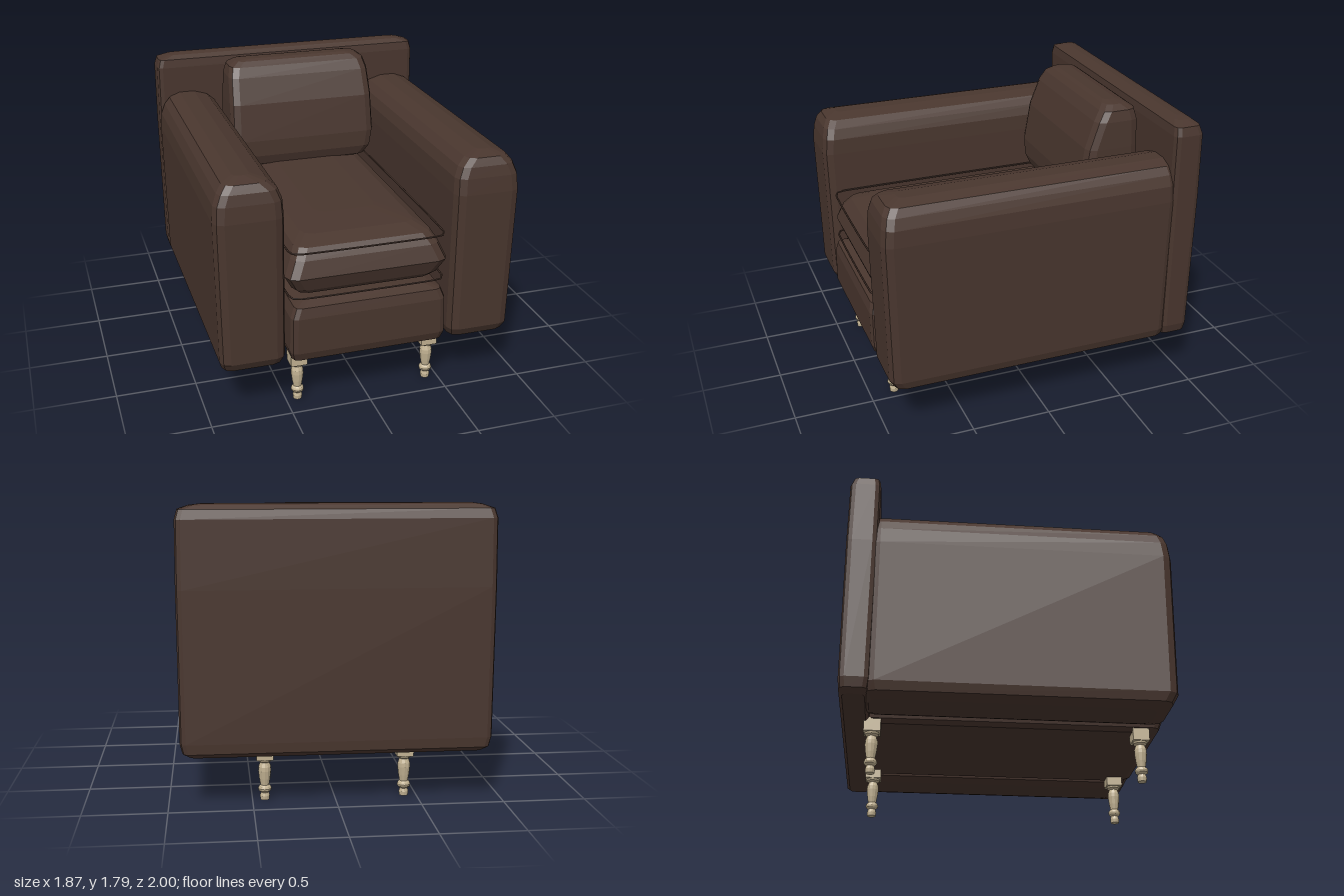
import * as THREE from 'three';

// Stack of rounded-rectangle rings: each is [y, xMin, xMax, zMin, zMax]
function stackGeometry(rings, radius) {
  const pos = [], index = [], steps = 3, n = 4 * steps;
  const corners = [[1, 1], [0, 1], [0, 0], [1, 0]];
  for (const [y, x0, x1, z0, z1] of rings) {
    const r = Math.min(radius, (x1 - x0) * 0.35, (z1 - z0) * 0.35);
    corners.forEach(([cx, cz], c) => {
      for (let s = 0; s < steps; s++) {
        const a = (c + s / (steps - 1)) * Math.PI / 2;
        pos.push((cx ? x1 - r : x0 + r) + Math.cos(a) * r, y, (cz ? z1 - r : z0 + r) + Math.sin(a) * r);
      }
    });
  }
  for (let i = 0; i < rings.length - 1; i++) {
    for (let k = 0; k < n; k++) {
      const a = i * n + k, b = i * n + (k + 1) % n;
      index.push(a, a + n, b, b, a + n, b + n);
    }
  }
  const top = (rings.length - 1) * n;
  for (let k = 1; k < n - 1; k++) {
    index.push(0, k, k + 1, top, top + k + 1, top + k);
  }
  const geo = new THREE.BufferGeometry();
  geo.setAttribute('position', new THREE.Float32BufferAttribute(pos, 3));
  geo.setIndex(index);
  geo.computeVertexNormals();
  return geo;
}

// Rings symmetric in x: [y, halfWidth, zMin, zMax]
const centred = rings => rings.map(([y, h, z0, z1]) => [y, -h, h, z0, z1]);

export function createModel() {
  const group = new THREE.Group();
  const leather = new THREE.MeshStandardMaterial({ color: 0x49362e, flatShading: true });
  leather.name = 'brown leather';
  const wood = new THREE.MeshStandardMaterial({ color: 0xc2b292, flatShading: true });
  wood.name = 'pale wood';

  const add = (name, geo, mat = leather, parent = group) => {
    const mesh = new THREE.Mesh(geo, mat);
    mesh.name = name;
    parent.add(mesh);
    return mesh;
  };

  // Backrest panel
  add('backrest', stackGeometry(centred([
    [0.315, 0.87, -0.97, -0.84], [0.34, 0.91, -0.99, -0.82], [0.4, 0.925, -0.995, -0.812],
    [1.3, 0.932, -1, -0.808], [1.7, 0.93, -0.997, -0.808], [1.755, 0.915, -0.98, -0.815],
    [1.778, 0.85, -0.95, -0.85], [1.787, 0.78, -0.92, -0.88],
  ]), 0.035));

  // Armrests with rounded tops
  const arm = [
    [0.308, 0.6, 0.83, -0.82, 0.87], [0.33, 0.54, 0.905, -0.84, 0.95], [0.385, 0.522, 0.922, -0.85, 0.98],
    [1.29, 0.52, 0.934, -0.855, 0.995], [1.39, 0.525, 0.925, -0.855, 0.985], [1.455, 0.55, 0.9, -0.855, 0.97],
    [1.5, 0.6, 0.865, -0.85, 0.94], [1.525, 0.69, 0.79, -0.84, 0.86],
  ];
  add('leftArmrest', stackGeometry(arm, 0.06));
  add('rightArmrest', stackGeometry(arm.map(([y, x0, x1, z0, z1]) => [y, -x1, -x0, z0, z1]), 0.06));

  // Seat base
  add('seatBase', stackGeometry(centred([
    [0.312, 0.45, -0.84, 0.92], [0.335, 0.48, -0.84, 0.96], [0.39, 0.495, -0.84, 0.98],
    [0.62, 0.49, -0.84, 0.98], [0.685, 0.465, -0.84, 0.965], [0.71, 0.4, -0.82, 0.9],
  ]), 0.04));

  // Loose seat cushion, widest at mid height
  add('seatCushion', stackGeometry(centred([
    [0.71, 0.34, -0.72, 0.78], [0.745, 0.43, -0.77, 0.89], [0.78, 0.46, -0.79, 0.925],
    [0.87, 0.508, -0.8, 0.96], [0.97, 0.465, -0.79, 0.925], [1.03, 0.43, -0.77, 0.87],
    [1.065, 0.36, -0.74, 0.76], [1.08, 0.2, -0.6, 0.5],
  ]), 0.07));

  // Piping around the seat cushion
  for (const [name, y] of [['lowerPiping', 0.745], ['upperPiping', 1.035]]) {
    const points = [];
    for (const [cx, cz, a0] of [[0.43, 0.9, 0], [-0.43, 0.9, 1], [-0.43, -0.72, 2], [0.43, -0.72, 3]]) {
      for (let s = 0; s <= 4; s++) {
        const a = (a0 + s / 4) * Math.PI / 2;
        points.push(new THREE.Vector3(cx + 0.055 * Math.cos(a), y, cz + 0.055 * Math.sin(a)));
      }
    }
    const path = new THREE.CatmullRomCurve3(points, true);
    add(name, new THREE.TubeGeometry(path, 96, 0.006, 6, true));
  }

  // Back cushion with a sloping front
  add('backCushion', stackGeometry(centred([
    [1.04, 0.36, -0.73, -0.49], [1.075, 0.45, -0.78, -0.435], [1.14, 0.492, -0.8, -0.412],
    [1.25, 0.508, -0.802, -0.41], [1.5, 0.502, -0.802, -0.448], [1.67, 0.492, -0.8, -0.51],
    [1.735, 0.475, -0.785, -0.55], [1.765, 0.43, -0.74, -0.585], [1.777, 0.36, -0.69, -0.61],
  ]), 0.06));

  // Turned legs under square blocks
  const profile = [
    [0, 0], [0.027, 0], [0.03, 0.025], [0.024, 0.045], [0.038, 0.058], [0.041, 0.07], [0.036, 0.083],
    [0.026, 0.092], [0.033, 0.13], [0.039, 0.18], [0.038, 0.205], [0.028, 0.232], [0.042, 0.242], [0.046, 0.262],
  ].map(([r, y]) => new THREE.Vector2(r, y));
  const turned = new THREE.LatheGeometry(profile, 12);
  const block = new THREE.BoxGeometry(0.102, 0.085, 0.102).translate(0, 0.297, 0);
  for (const [end, z] of [['front', 0.84], ['back', -0.8]]) {
    for (const [side, x] of [['Left', 0.425], ['Right', -0.425]]) {
      const leg = new THREE.Group();
      leg.name = `${end}${side}Leg`;
      leg.position.set(x, 0, z);
      add('turnedPost', turned, wood, leg);
      add('legBlock', block, wood, leg);
      group.add(leg);
    }
  }
  return group;
}
